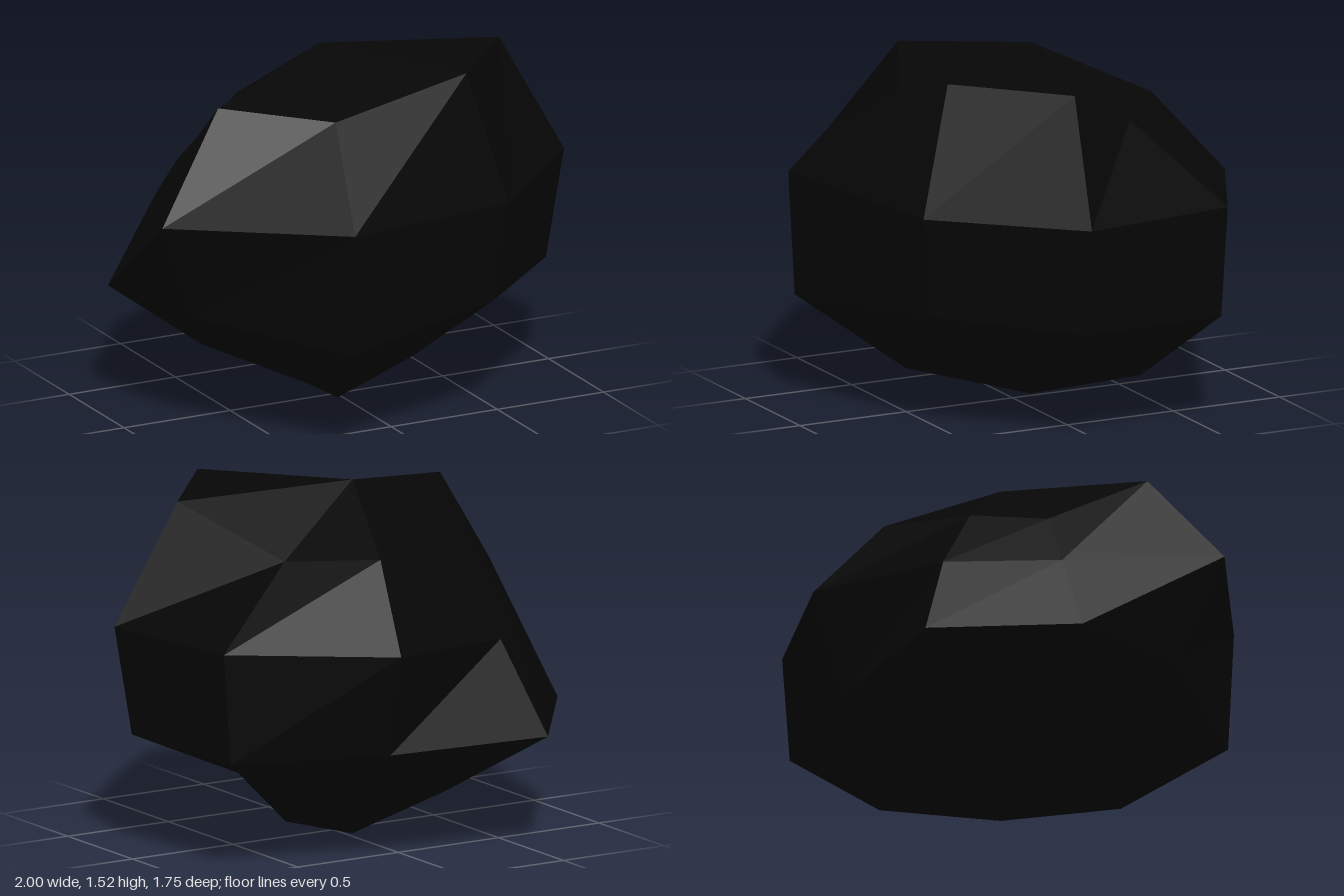
import * as THREE from 'three';

// Faceted boulder: two poles and four uneven rings of eight points
const TOP = [-0.03, 1.52, -0.1];
const BOTTOM = [-0.03, 0, -0.1];
const RINGS = [
  // shoulder
  [[-0.66, 1.415, 0.2], [-0.22, 1.35, 0.42], [0.36, 1.5, 0.49], [0.725, 1.485, 0.08],
    [0.45, 1.27, -0.32], [0.14, 1.29, -0.58], [-0.25, 1.24, -0.42], [-0.5, 1.19, -0.2]],
  // upper girth
  [[-1, 0.98, 0.35], [-0.36, 1, 0.87], [0.47, 0.96, 0.66], [1, 0.97, 0.14],
    [0.9, 0.97, -0.55], [0.23, 0.94, -0.88], [-0.4, 0.9, -0.67], [-0.71, 0.9, -0.28]],
  // lower girth
  [[-0.81, 0.53, 0.24], [-0.36, 0.465, 0.84], [0.43, 0.52, 0.6], [0.92, 0.5, 0.13],
    [0.86, 0.49, -0.54], [0.2, 0.49, -0.75], [-0.52, 0.5, -0.85], [-0.91, 0.52, -0.32]],
  // underside
  [[-0.44, 0.25, 0.1], [-0.2, 0.13, 0.4], [0.2, 0.22, 0.3], [0.42, 0.28, 0.03],
    [0.47, 0.165, -0.36], [0.08, 0.23, -0.53], [-0.28, 0.21, -0.42], [-0.52, 0.23, -0.22]],
];

function rockGeometry() {
  const n = 8;
  const index = [];
  const at = (ring, i) => 1 + ring * n + (i % n);
  const last = 1 + RINGS.length * n;
  for (let i = 0; i < n; i++) {
    // caps at both poles
    index.push(0, at(0, i), at(0, i + 1));
    index.push(last, at(3, i + 1), at(3, i));
    // bands between neighbouring rings
    for (let r = 0; r < RINGS.length - 1; r++) {
      const a = at(r, i + 1), b = at(r, i), c = at(r + 1, i), d = at(r + 1, i + 1);
      index.push(a, b, c, a, c, d);
    }
  }
  const geometry = new THREE.BufferGeometry();
  const points = [TOP, ...RINGS.flat(), BOTTOM].flat();
  geometry.setAttribute('position', new THREE.Float32BufferAttribute(points, 3));
  geometry.setIndex(index);
  // separate corners give each facet its own normal
  const faceted = geometry.toNonIndexed();
  faceted.computeVertexNormals();
  return faceted;
}

export function createModel() {
  const group = new THREE.Group();
  group.name = 'boulder';
  const coal = new THREE.MeshStandardMaterial({ color: 0x060606 });
  coal.name = 'coal black';
  const rock = new THREE.Mesh(rockGeometry(), coal);
  rock.name = 'rock';
  group.add(rock);
  return group;
}
